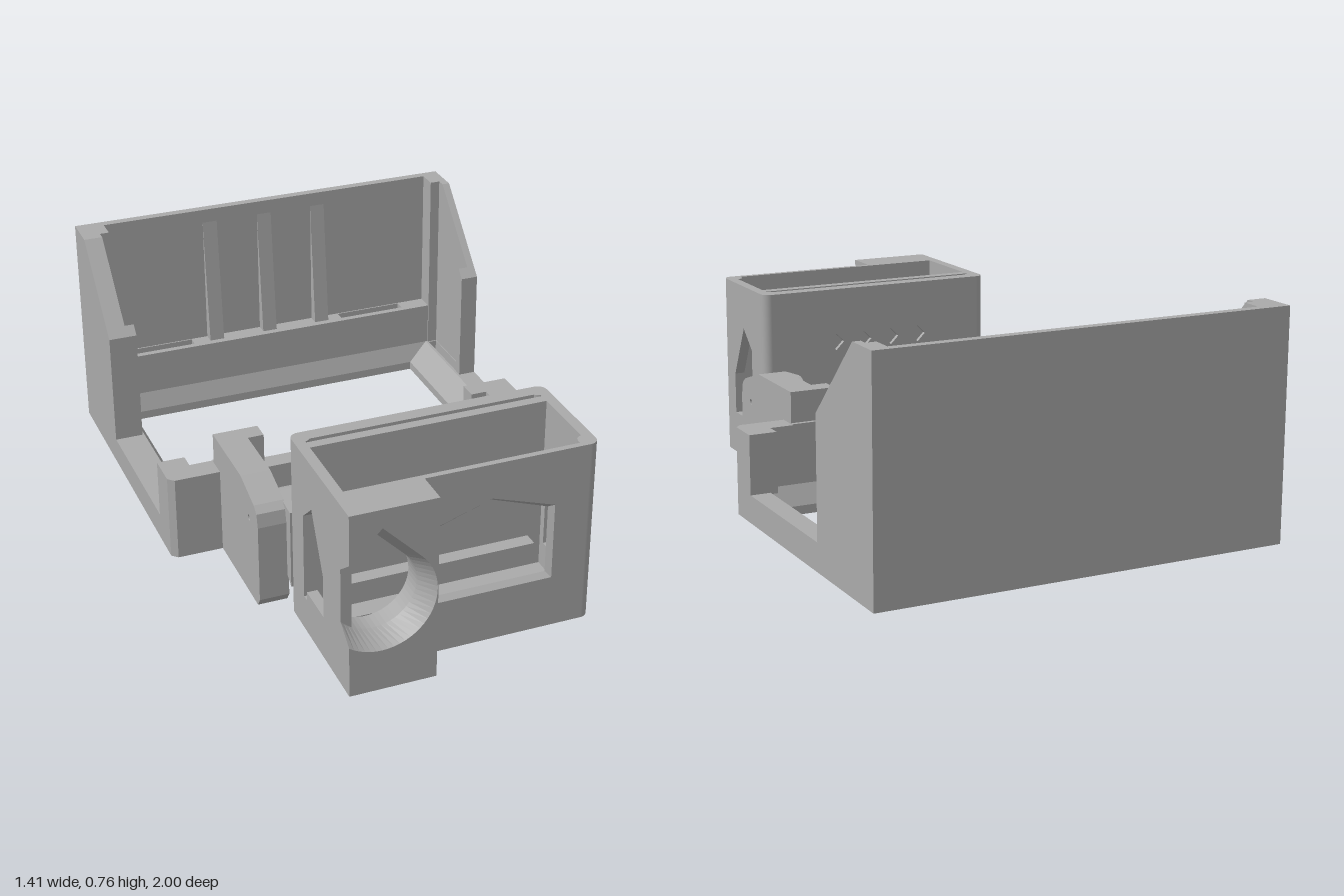
import * as THREE from 'three';

const grey = new THREE.MeshStandardMaterial({ color: 0xaaaaaa, side: THREE.DoubleSide });
grey.name = 'grey plastic';

const toShape = (pts, holes = []) => {
  const v = (p) => p.map(([a, b]) => new THREE.Vector2(a, b));
  const s = new THREE.Shape(v(pts));
  s.holes = holes.map((h) => new THREE.Path(v(h)));
  return s;
};
const rect = (a0, a1, b0, b1) => [[a0, b0], [a1, b0], [a1, b1], [a0, b1]];
const extrude = (pts, holes, depth) =>
  new THREE.ExtrudeGeometry(toShape(pts, holes), { depth, bevelEnabled: false });

// Slab facing front: points are [x, y]
const frontSlab = (pts, holes, z0, z1) => extrude(pts, holes, z1 - z0).translate(0, 0, z0);
// Slab facing sideways: points are [z, y]
const sideSlab = (pts, holes, x0, x1) =>
  extrude(pts, holes, x1 - x0).rotateY(-Math.PI / 2).translate(x1, 0, 0);
// Slab lying flat: points are [x, z]
const flatSlab = (pts, holes, y0, y1) =>
  extrude(pts, holes, y1 - y0).rotateX(Math.PI / 2).translate(0, y1, 0);
const box = (x0, x1, y0, y1, z0, z1) =>
  new THREE.BoxGeometry(x1 - x0, y1 - y0, z1 - z0)
    .translate((x0 + x1) / 2, (y0 + y1) / 2, (z0 + z1) / 2);

// Skin between matching loops of 3D points, with optional end caps
function loft(loops, caps = true) {
  const pos = [];
  const n = loops[0].length;
  for (let k = 0; k < loops.length - 1; k++) {
    for (let i = 0; i < n; i++) {
      const j = (i + 1) % n;
      const [a, b, c, d] = [loops[k][i], loops[k][j], loops[k + 1][j], loops[k + 1][i]];
      pos.push(...a, ...b, ...c, ...a, ...c, ...d);
    }
  }
  if (caps) {
    const ends = [loops[0], loops[loops.length - 1]];
    ends.forEach((loop, e) => {
      const flat = loop.map(([x, y]) => new THREE.Vector2(x, y));
      for (const [a, b, c] of THREE.ShapeUtils.triangulateShape(flat, [])) {
        const tri = e ? [a, c, b] : [a, b, c];
        tri.forEach((i) => pos.push(...loop[i]));
      }
    });
  }
  const g = new THREE.BufferGeometry();
  g.setAttribute('position', new THREE.Float32BufferAttribute(pos, 3));
  g.computeVertexNormals();
  return g;
}

function add(group, name, geometry) {
  const m = new THREE.Mesh(geometry, grey);
  m.name = name;
  group.add(m);
  return m;
}

function makeTray() {
  const g = new THREE.Group();
  g.name = 'tray';
  const outline = [[-0.705, -1], [0.705, -1], [0.705, 0.06], [0.685, 0.08], [-0.685, 0.08], [-0.705, 0.06]];
  const backSlots = [rect(-0.545, -0.3, -0.965, -0.928), rect(0.29, 0.54, -0.965, -0.928)];
  const slots = [...backSlots, rect(-0.637, -0.61, -0.895, -0.63), rect(0.645, 0.675, -0.895, -0.63)];
  const opening = rect(-0.563, 0.56, -0.88, -0.035);
  const inner = rect(-0.6, 0.635, -0.905, 0);

  // Floor frame with its sloping inner lip
  add(g, 'floor', flatSlab(outline, [opening, ...slots], 0, 0.03));
  add(g, 'rim', flatSlab(outline, [inner, ...slots], 0.03, 0.095));
  const raise = (r, y) => r.map(([x, z]) => [x, y, z]);
  add(g, 'sloping lip', loft([raise(opening, 0.03), raise(inner, 0.095)], false));

  // Back wall, its thick lower half and the wedge ribs
  add(g, 'back wall', box(-0.705, 0.705, 0, 0.765, -1, -0.97));
  add(g, 'back ledge', flatSlab(rect(-0.607, 0.643, -0.97, -0.905), backSlots, 0.09, 0.25));
  for (const x of [-0.21, 0, 0.21]) {
    add(g, 'wedge rib', sideSlab([[-0.97, 0.25], [-0.93, 0.25], [-0.97, 0.715]], [], x - 0.027, x + 0.027));
  }

  // Sloped side walls with corner posts and front lips
  const side = [[-1, 0], [-0.6, 0], [-0.6, 0.495], [-0.87, 0.765], [-1, 0.765]];
  const walls = [[-0.705, -0.64, -0.64, -0.607], [0.678, 0.705, 0.643, 0.678]];
  for (const [x0, x1, p0, p1] of walls) {
    add(g, 'side wall', sideSlab(side, [], x0, x1));
    add(g, 'corner post', box(p0, p1, 0.09, 0.765, -0.97, -0.9));
    add(g, 'side wall lip', sideSlab([[-0.63, 0.09], [-0.6, 0.09], [-0.6, 0.495], [-0.63, 0.525]], [], p0, p1));
  }

  // Stepped front blocks and hinge arms, mirrored
  const arm = [[0, 0], [0.44, 0], [0.46, 0.03], [0.46, 0.3], [0.45, 0.345], [0.425, 0.365],
    [0.3, 0.405], [0.015, 0.405], [0.015, 0.3], [0, 0.3]];
  const pinHole = Array.from({ length: 12 }, (_, i) =>
    [0.375 + 0.01 * Math.cos(i * Math.PI / 6), 0.292 + 0.01 * Math.sin(i * Math.PI / 6)]);
  for (const s of [-1, 1]) {
    const span = (a, b) => (s > 0 ? [a, b] : [-b, -a]);
    add(g, 'front corner block', flatSlab(
      [[0.53, 0], [0.61, 0], [0.61, -0.055], [0.705, -0.055], [0.705, 0.06], [0.685, 0.08], [0.53, 0.08]]
        .map(([x, z]) => [s * x, z]), [], 0.09, 0.297));
    add(g, 'high step', box(...span(0.375, 0.53), 0.09, 0.405, 0.015, 0.08));
    add(g, 'low step', box(...span(0.18, 0.375), 0.09, 0.28, 0.015, 0.08));
    add(g, 'step catch', box(...span(0.235, 0.325), 0.2, 0.225, -0.005, 0.015));
    add(g, 'hinge arm', sideSlab(arm, [pinHole], ...span(0.43, 0.53)));
  }
  return g;
}

function makeHousing() {
  const g = new THREE.Group();
  g.name = 'housing';
  const H = 0.635;

  // Floor with cut-outs
  const plan = [[-0.405, 0.49], [0.4, 0.49], [0.43, 0.52], [0.43, 0.855], [0.4, 0.885],
    [-0.15, 0.885], [-0.15, 1], [-0.435, 1], [-0.435, 0.52]];
  add(g, 'housing floor', flatSlab(plan,
    [rect(-0.31, -0.225, 0.66, 0.775), rect(-0.2, -0.125, 0.68, 0.775), rect(-0.085, 0.3, 0.66, 0.775)], 0, 0.03));

  // Back skin with diamond recesses, core and slot partition
  const diamonds = [];
  for (let i = 0; i < 4; i++) {
    for (let j = 0; j < 3; j++) {
      const x = -0.165 + i * 0.107;
      const y = 0.17 + j * 0.137;
      diamonds.push([[x - 0.03, y], [x, y - 0.03], [x + 0.03, y], [x, y + 0.03]]);
    }
  }
  add(g, 'back skin', frontSlab(rect(-0.405, 0.4, 0, H), diamonds, 0.49, 0.505));
  add(g, 'back core', box(-0.405, 0.4, 0, H, 0.505, 0.538));
  add(g, 'slot partition', box(-0.405, 0.4, 0.03, H, 0.556, 0.59));
  add(g, 'inner shelf', box(-0.29, 0.35, 0.12, 0.145, 0.59, 0.64));

  // Rounded corners
  for (const [x, z] of [[-0.405, 0.52], [0.4, 0.52], [0.4, 0.855]]) {
    add(g, 'rounded corner', new THREE.CylinderGeometry(0.03, 0.03, H, 24).translate(x, H / 2, z));
  }

  // Side walls with pointed windows
  const sideWindow = [[0.615, 0.12], [0.64, 0.12], [0.64, 0.15], [0.785, 0.15], [0.785, 0.295], [0.69, 0.48], [0.615, 0.415]];
  add(g, 'right side wall', sideSlab(rect(0.52, 0.93, 0, H), [sideWindow], -0.435, -0.4));
  add(g, 'left side wall', sideSlab(rect(0.52, 0.855, 0, H), [sideWindow], 0.395, 0.43));

  // Front wall with a bevelled house-shaped window
  const house = (d) => [[-0.14 + d, 0.18 + d], [0.287 - d, 0.18 + d], [0.287 - d, 0.445 - d], [0.075, 0.515 - d], [-0.14 + d, 0.445 - d]];
  add(g, 'front wall', frontSlab(rect(-0.15, 0.4, 0, H), [house(0)], 0.865, 0.885));
  const at = (pts, z) => pts.map(([x, y]) => [x, y, z]);
  add(g, 'window bevel', loft([at(house(0), 0.885), at(house(0.014), 0.865)], false));

  // Projecting block with a teardrop cut that breaks through its outer edge
  const cut = (r) => {
    const cx = -0.33, cy = 0.32, edge = 0.105;
    const pts = [[cx - edge, cy + r * Math.SQRT2 - edge], [cx, cy + r * Math.SQRT2]];
    const end = -Math.acos(-edge / r);
    for (let i = 0; i <= 28; i++) {
      const a = Math.PI / 4 + (end - Math.PI / 4) * i / 28;
      pts.push([cx + r * Math.cos(a), cy + r * Math.sin(a)]);
    }
    return [[-0.435, H], ...pts, [-0.435, 0], [-0.15, 0], [-0.15, H]];
  };
  add(g, 'projecting block', loft([at(cut(0.178), 1), at(cut(0.14), 0.93), at(cut(0.14), 0.865)]));

  // Hinge lugs
  const lug = [[0.495, 0.355], [0.495, 0.08], [0.44, 0.12]];
  for (let i = 0; i <= 16; i++) {
    const a = -Math.PI / 4 - Math.PI * 1.25 * i / 16;
    lug.push([0.375 + 0.075 * Math.cos(a), 0.292 + 0.075 * Math.sin(a)]);
  }
  for (const [x0, x1] of [[-0.435, -0.355], [0.35, 0.43]]) {
    add(g, 'hinge lug', sideSlab(lug, [], x0, x1));
    const pin = new THREE.CylinderGeometry(0.04, 0.04, 0.1, 20).rotateZ(Math.PI / 2);
    add(g, 'hinge pin', pin.translate(Math.sign(x0) * 0.43, 0.292, 0.375));
  }
  return g;
}

export function createModel() {
  const model = new THREE.Group();
  model.name = 'hinged tray and housing';
  model.add(makeTray(), makeHousing());
  return model;
}
